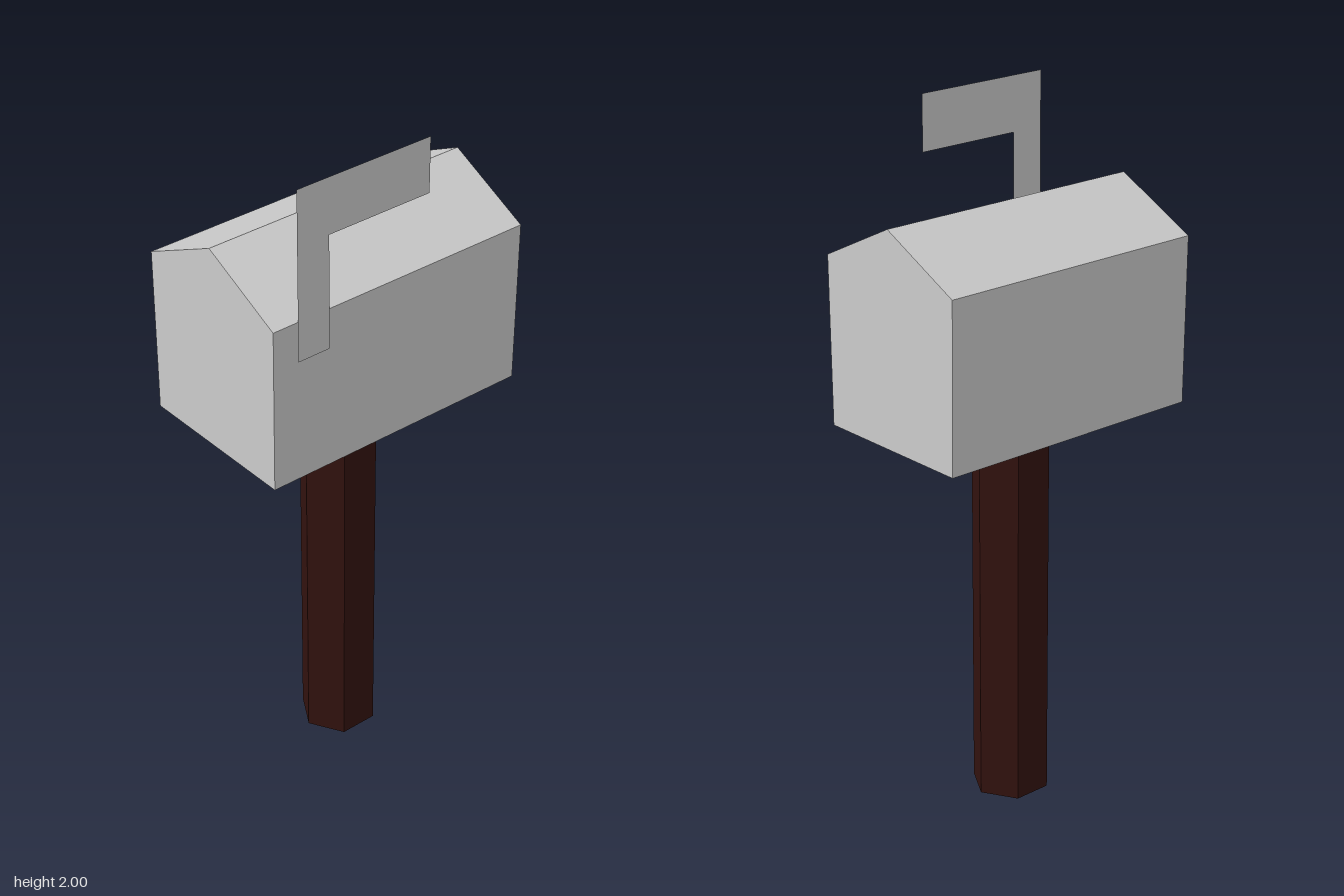
import * as THREE from 'three';

const grey = new THREE.MeshStandardMaterial({ color: 0xcccccc, flatShading: true });
const thin = new THREE.MeshStandardMaterial({ color: 0xcccccc, side: THREE.DoubleSide });
const wood = new THREE.MeshStandardMaterial({ color: 0x32120e, flatShading: true });

const CENTRE_X = -0.002;
const BOX_BOTTOM = 1.145;
const DEPTH = 0.83;

const shapeOf = (points) => new THREE.Shape(points.map(([x, y]) => new THREE.Vector2(x, y)));

function part(name, geometry, material) {
  const mesh = new THREE.Mesh(geometry, material);
  mesh.name = name;
  return mesh;
}

export function createModel() {
  const model = new THREE.Group();
  model.name = 'mailbox';

  // Six-sided post, corners pointing front and back
  const post = part('post', new THREE.CylinderGeometry(0.112, 0.112, BOX_BOTTOM, 6), wood);
  post.position.set(CENTRE_X, BOX_BOTTOM / 2, 0);
  model.add(post);

  // House-shaped box, slightly wider at the eaves
  const profile = shapeOf([
    [-0.249, BOX_BOTTOM], [0.249, BOX_BOTTOM], [0.254, 1.625], [0, 1.75], [-0.254, 1.625],
  ]);
  const box = part('box', new THREE.ExtrudeGeometry(profile, { depth: DEPTH, bevelEnabled: false }), grey);
  box.position.set(CENTRE_X, 0, -DEPTH / 2);
  model.add(box);

  // Thin raised flag on the left wall, drawn as (z, y)
  const outline = shapeOf([
    [0.34, 1.51], [0.34, 2], [-0.085, 2], [-0.085, 1.84], [0.24, 1.84], [0.24, 1.51],
  ]);
  const flag = part('flag', new THREE.ShapeGeometry(outline).rotateY(-Math.PI / 2), thin);
  flag.position.x = 0.256;
  model.add(flag);

  return model;
}
